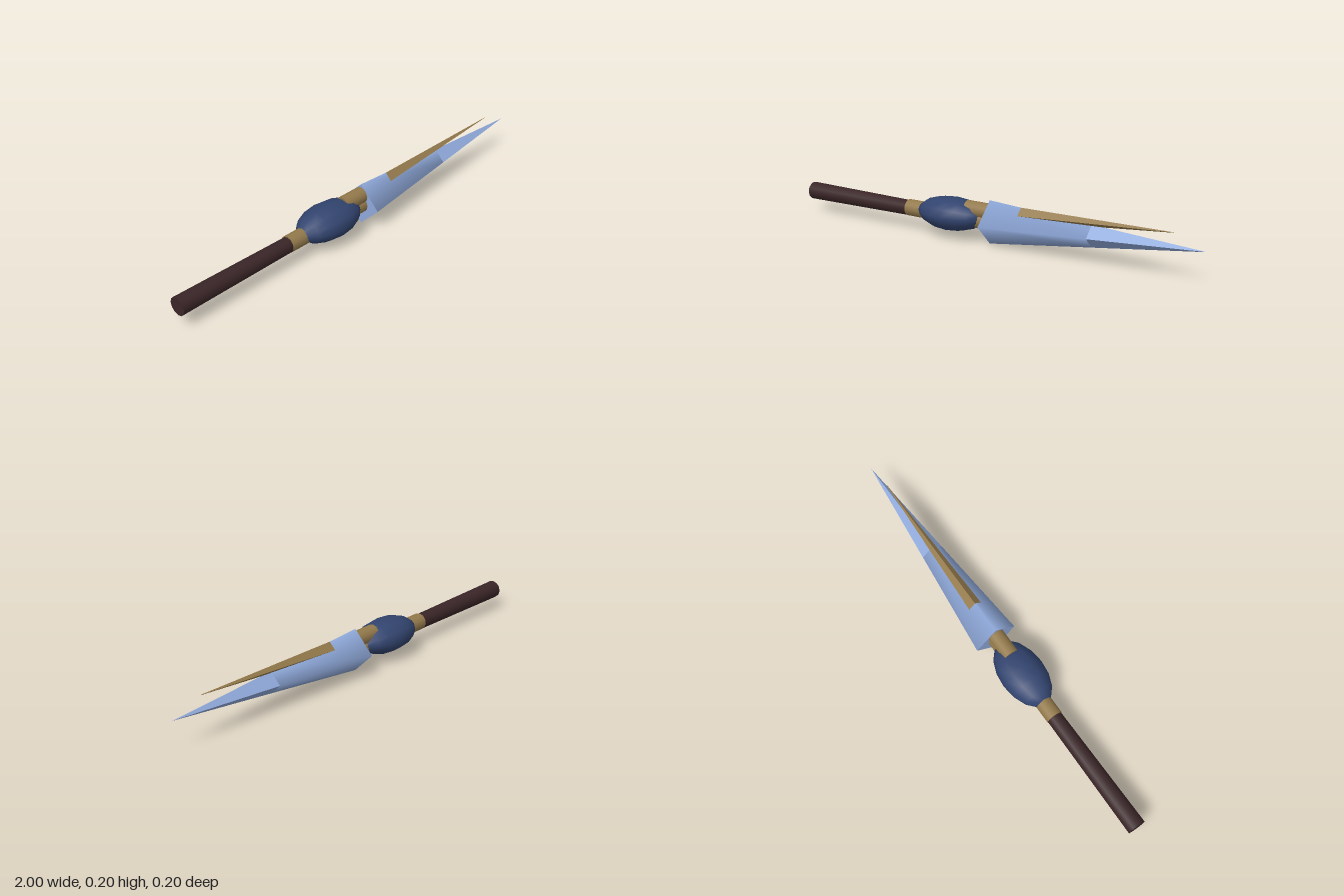
import * as THREE from 'three';

const mat = (name, color, flatShading = false) =>
  Object.assign(new THREE.MeshStandardMaterial({ color, flatShading }), { name });

// Tapered rod along x whose axis climbs from y0 to y1
function rod(x0, x1, y0, y1, r0, r1, sides, open = false) {
  const length = x1 - x0;
  const slope = (y1 - y0) / length;
  const g = new THREE.CylinderGeometry(r1, r0, length, sides, 1, open);
  g.rotateZ(-Math.PI / 2);
  g.applyMatrix4(new THREE.Matrix4().set(
    1, 0, 0, (x0 + x1) / 2,
    slope, 1, 0, (y0 + y1) / 2,
    0, 0, 1, 0,
    0, 0, 0, 1));
  return g;
}

export function createModel() {
  const model = new THREE.Group();
  model.name = 'spear';
  const wood = mat('dark wood', 0x3a2527);
  const gold = mat('aged gold', 0x947a4c);
  const goldFlat = gold.clone();
  goldFlat.flatShading = true;
  const navy = mat('navy blue', 0x32446f);
  const steel = mat('pale blue steel', 0x8fa9da);
  const steelFlat = steel.clone();
  steelFlat.flatShading = true;

  const add = (name, geometry, material) => {
    const mesh = new THREE.Mesh(geometry, material);
    mesh.name = name;
    model.add(mesh);
    return mesh;
  };

  // Handle and the gold sleeve running through the bulb
  add('shaft', rod(-1, -0.42, 0.097, 0.097, 0.041, 0.035, 12), wood);
  add('sleeve', rod(-0.43, 0.01, 0.099, 0.099, 0.038, 0.038, 12), gold);

  // Flattened bulb with its poles on the shaft axis
  const bulb = new THREE.SphereGeometry(1, 12, 8);
  bulb.rotateZ(Math.PI / 2);
  bulb.scale(0.168, 0.075, 0.1);
  bulb.translate(-0.195, 0.107, 0);
  add('bulb', bulb, navy);

  // Upper socket that holds the spike
  add('spikeSocket', rod(-0.11, 0.01, 0.144, 0.144, 0.037, 0.037, 12), gold);

  // Four-edged blade: softly shaded rear half, crisp tip
  add('bladeRear', rod(0.005, 0.5, 0.0985, 0.118, 0.0985, 0.0495, 4, true), steel);
  add('bladeTip', rod(0.5, 1, 0.118, 0.138, 0.0495, 0, 4, true), steelFlat);
  const base = new THREE.CircleGeometry(0.0985, 4);
  base.rotateY(-Math.PI / 2);
  base.translate(0.005, 0.0985, 0);
  add('bladeBase', base, steel);

  // Thin spike rising out of the upper ridge
  add('spike', rod(0.01, 0.86, 0.149, 0.194, 0.037, 0.001, 4), goldFlat);

  return model;
}
